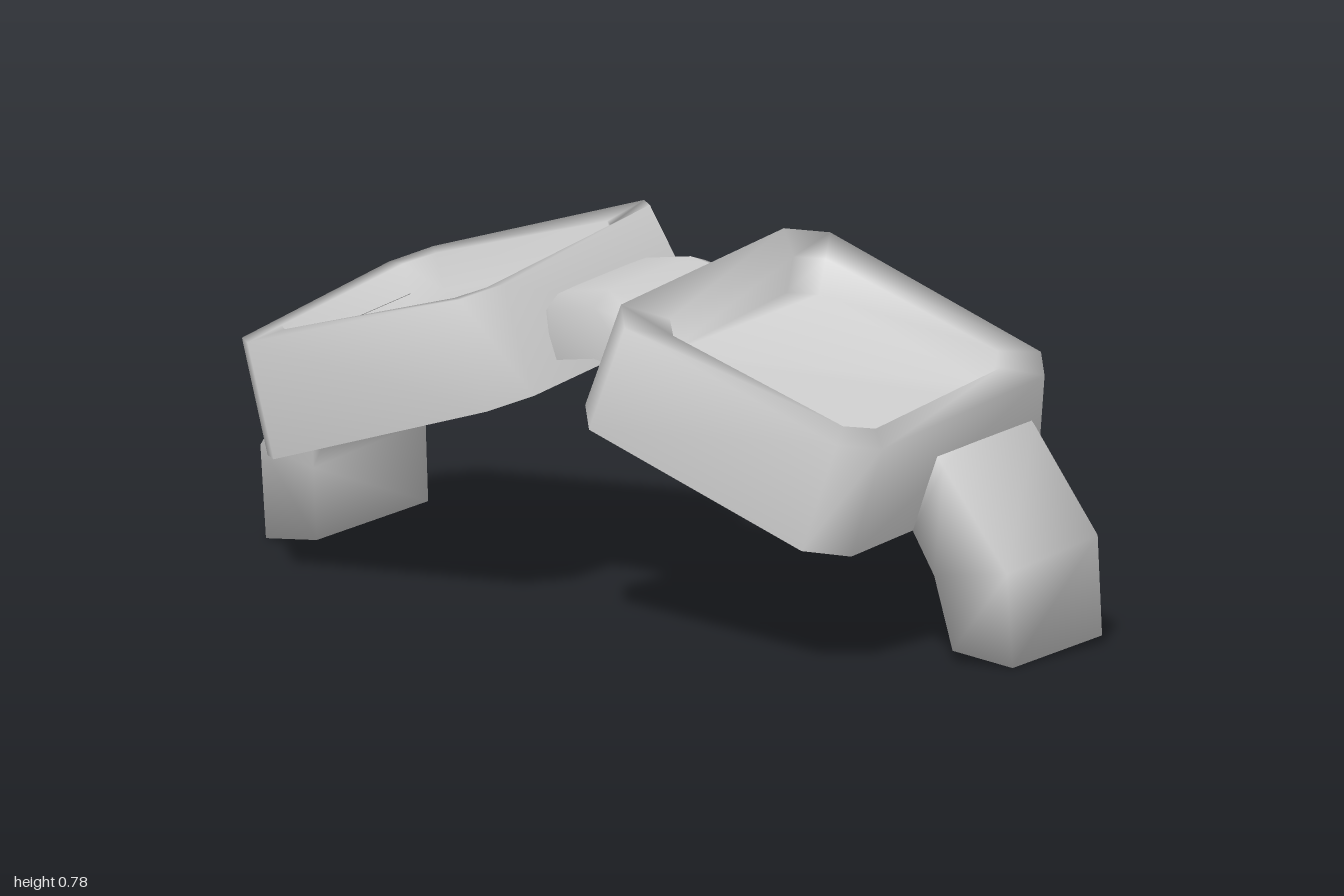
import * as THREE from 'three';

const material = new THREE.MeshStandardMaterial({ color: 0xcccccc, side: THREE.DoubleSide });

// Skin a list of cross-sections smoothly; a closed skin also gets its last loop capped.
function loft(rings, closed) {
  const n = rings[0].length;
  const points = rings.flat();
  const index = [];
  for (let i = 0; i < rings.length - 1; i++) {
    for (let j = 0; j < (closed ? n : n - 1); j++) {
      const k = (j + 1) % n;
      const a = i * n + j, b = i * n + k, c = b + n, d = a + n;
      index.push(a, b, c, a, c, d);
    }
  }
  if (closed) {
    const start = points.length - n;
    for (let j = 1; j < n - 1; j++) index.push(start, start + j, start + j + 1);
  }
  const geometry = new THREE.BufferGeometry().setFromPoints(points);
  geometry.setIndex(index);
  geometry.computeVertexNormals();
  return geometry;
}

const vectors = (list) => list.map((p) => new THREE.Vector3(...p));

// Cut each corner of a four-cornered loop by a fixed distance.
function chamfer(corners, cut) {
  const c = vectors(corners);
  return c.flatMap((p, i) => [c[(i + 3) % 4], c[(i + 1) % 4]].map((q) =>
    p.clone().add(q.clone().sub(p).setLength(cut))));
}

function part(name, geometry) {
  const mesh = new THREE.Mesh(geometry, material);
  mesh.name = name;
  return mesh;
}

// Tilted eight-sided cup: open underneath, with a recessed tray on top.
// Corners run inner front, outer front, outer back, inner back.
function eyeCupGeometry() {
  const bottom = [[0.057, 0.475, 0.38], [0.768, 0.247, 0.38], [0.80, 0.33, -0.37], [0.085, 0.55, -0.38]];
  const top = [[0.145, 0.70, 0.365], [0.845, 0.487, 0.365], [0.87, 0.572, -0.30], [0.173, 0.793, -0.30]];
  const opening = [[0.235, 0.674, 0.29], [0.785, 0.515, 0.29], [0.79, 0.585, -0.23], [0.235, 0.747, -0.23]];
  const floor = opening.map(([x, y, z]) => [x - 0.02, y - 0.08, z * 0.97 - 0.01]);
  return loft([chamfer(bottom, 0.075), chamfer(top, 0.07), chamfer(opening, 0.05), chamfer(floor, 0.05)], true);
}

// Bent side arm: a solid bar, wider on its inner face, ending in a foot.
function sideArmGeometry(footX) {
  // outer x, y; inner x, y; front z of outer and inner; back z of outer and inner; rise to the back
  const stations = [
    [0.79, 0.49, 0.70, 0.355, 0.09, 0.115, -0.22, -0.26, 0.03],
    [0.845, 0.42, 0.78, 0.275, 0.085, 0.106, -0.225, -0.27, 0.035],
    [0.998, 0.205, 0.83, 0.185, 0.064, 0.098, -0.245, -0.285, 0.03],
    [0.998, 0.0, footX, 0.025, 0.045, 0.08, -0.26, -0.30, 0.016],
  ];
  return loft(stations.map(([ox, oy, ix, iy, outF, inF, outB, inB, rise]) => vectors([
    [ox, oy, outF], [ix, iy, inF], [ix, iy + rise, inB], [ox, oy + rise, outB],
  ])), true);
}

// Arched bridge: a channel open underneath.
function bridgeGeometry() {
  const section = [[0.555, 0.20], [0.665, 0.20], [0.695, 0.15], [0.717, -0.13], [0.70, -0.18], [0.59, -0.18]];
  const rings = [0.2, 0.12, 0, -0.12, -0.2].map((x) => vectors(
    section.map(([y, z]) => [x, y - 1.4 * x * x, z * (Math.abs(x) > 0.15 ? 0.7 : 1)])));
  return loft(rings, false);
}

export function createModel() {
  const model = new THREE.Group();
  model.name = 'eyewear';
  const cupGeometry = eyeCupGeometry();
  // The right cup sits slightly further out and its arm has a thicker foot.
  for (const [side, sign, cupShift, footX] of [['left', 1, 0, 0.865], ['right', -1, 0.018, 0.835]]) {
    const half = new THREE.Group();
    half.name = side + 'Half';
    const cup = part(side + 'EyeCup', cupGeometry);
    cup.position.x = cupShift;
    half.add(cup, part(side + 'SideArm', sideArmGeometry(footX)));
    half.scale.x = sign;
    model.add(half);
  }
  model.add(part('bridge', bridgeGeometry()));
  return model;
}
